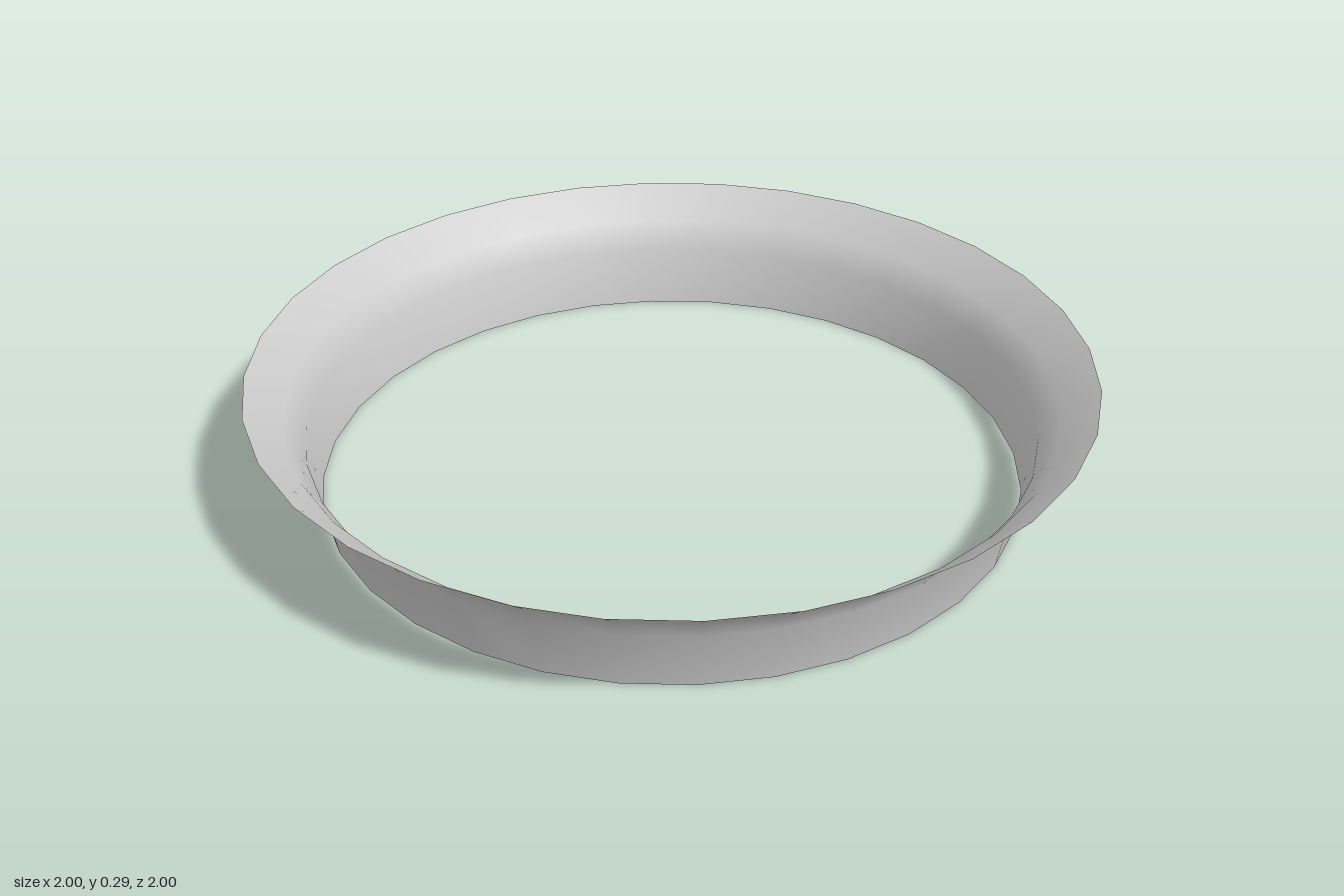
import * as THREE from 'three';

export function createModel() {
  const group = new THREE.Group();
  group.name = 'flaredRing';

  // Wall profile as [radius, height], flaring outward towards the rim
  const profile = [[0.841, 0], [0.868, 0.147], [0.913, 0.215], [1, 0.288]]
    .map(([r, y]) => new THREE.Vector2(r, y));

  // Open, thin ring with 32 sides
  const ring = new THREE.Mesh(
    new THREE.LatheGeometry(profile, 32),
    new THREE.MeshStandardMaterial({ color: 0xcccccc, side: THREE.DoubleSide })
  );
  ring.name = 'flaredWall';
  group.add(ring);

  return group;
}
